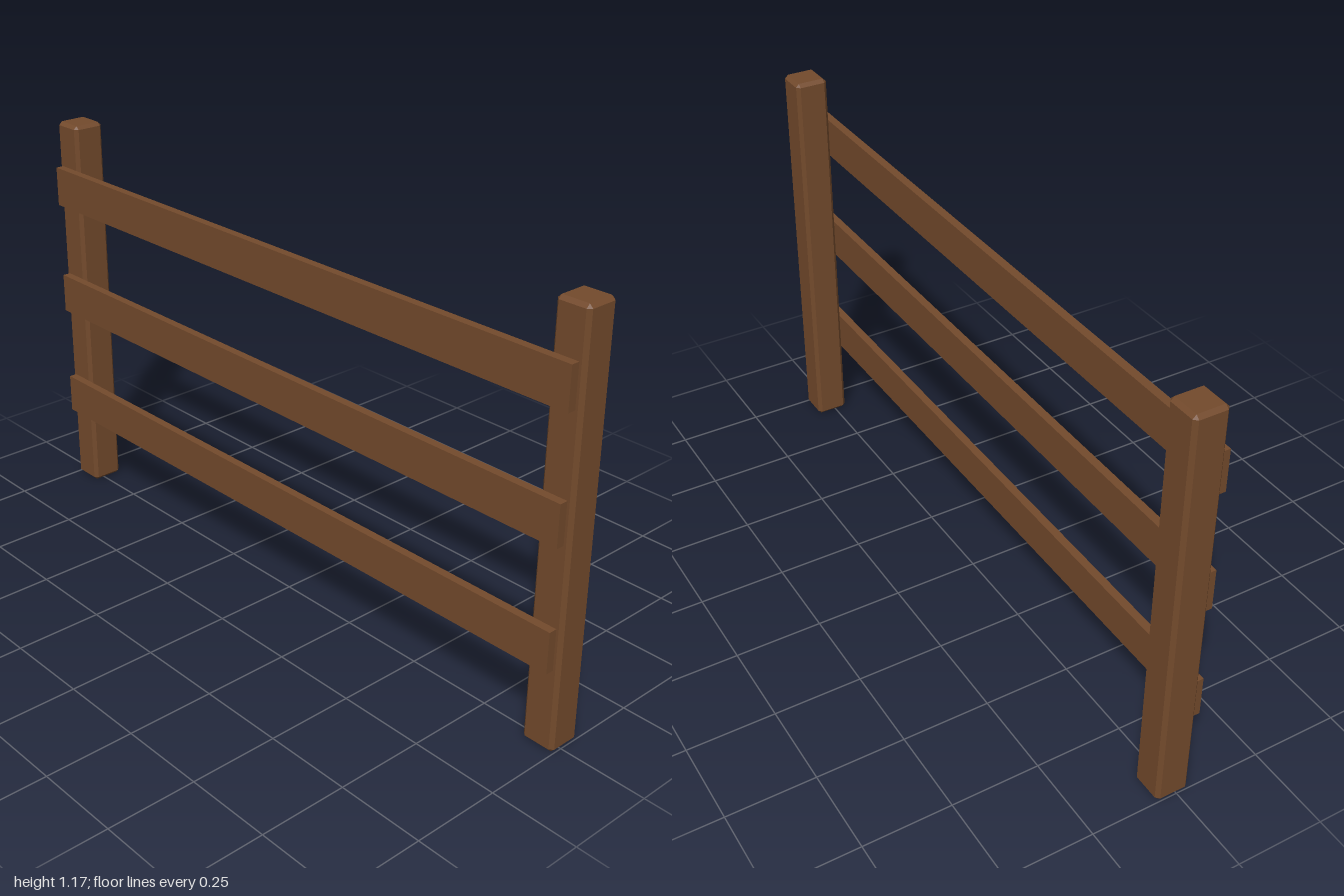
import * as THREE from 'three';
import { ConvexGeometry } from 'three/addons/geometries/ConvexGeometry.js';

// Box with every edge cut by a flat chamfer c
function chamferedBox(w, h, d, c) {
  const points = [];
  for (const x of [-1, 1]) for (const y of [-1, 1]) for (const z of [-1, 1]) {
    for (let axis = 0; axis < 3; axis++) {
      const inset = [c, c, c];
      inset[axis] = 0;
      points.push(new THREE.Vector3(
        x * (w / 2 - inset[0]), y * (h / 2 - inset[1]), z * (d / 2 - inset[2])));
    }
  }
  return new ConvexGeometry(points);
}

export function createModel() {
  const fence = new THREE.Group();
  fence.name = 'fence';

  const wood = new THREE.MeshStandardMaterial({ color: 0x734a2c });
  wood.name = 'brown wood';

  const add = (name, geometry, x, y, z) => {
    const mesh = new THREE.Mesh(geometry, wood);
    mesh.name = name;
    mesh.position.set(x, y, z);
    fence.add(mesh);
  };

  // Two square posts with chamfered edges
  const postHeight = 1.175, postSize = 0.096;
  const post = chamferedBox(postSize, postHeight, postSize, 0.01);
  const postX = 1 - postSize / 2;
  add('leftPost', post, postX, postHeight / 2, -0.012);
  add('rightPost', post, -postX, postHeight / 2, -0.012);

  // Three flat rails fixed to the front of the posts
  const rail = new THREE.BoxGeometry(1.966, 0.117, 0.024);
  ['lowerRail', 'middleRail', 'upperRail'].forEach((name, i) =>
    add(name, rail, 0, 0.296 + i * 0.343, 0.048));

  return fence;
}
